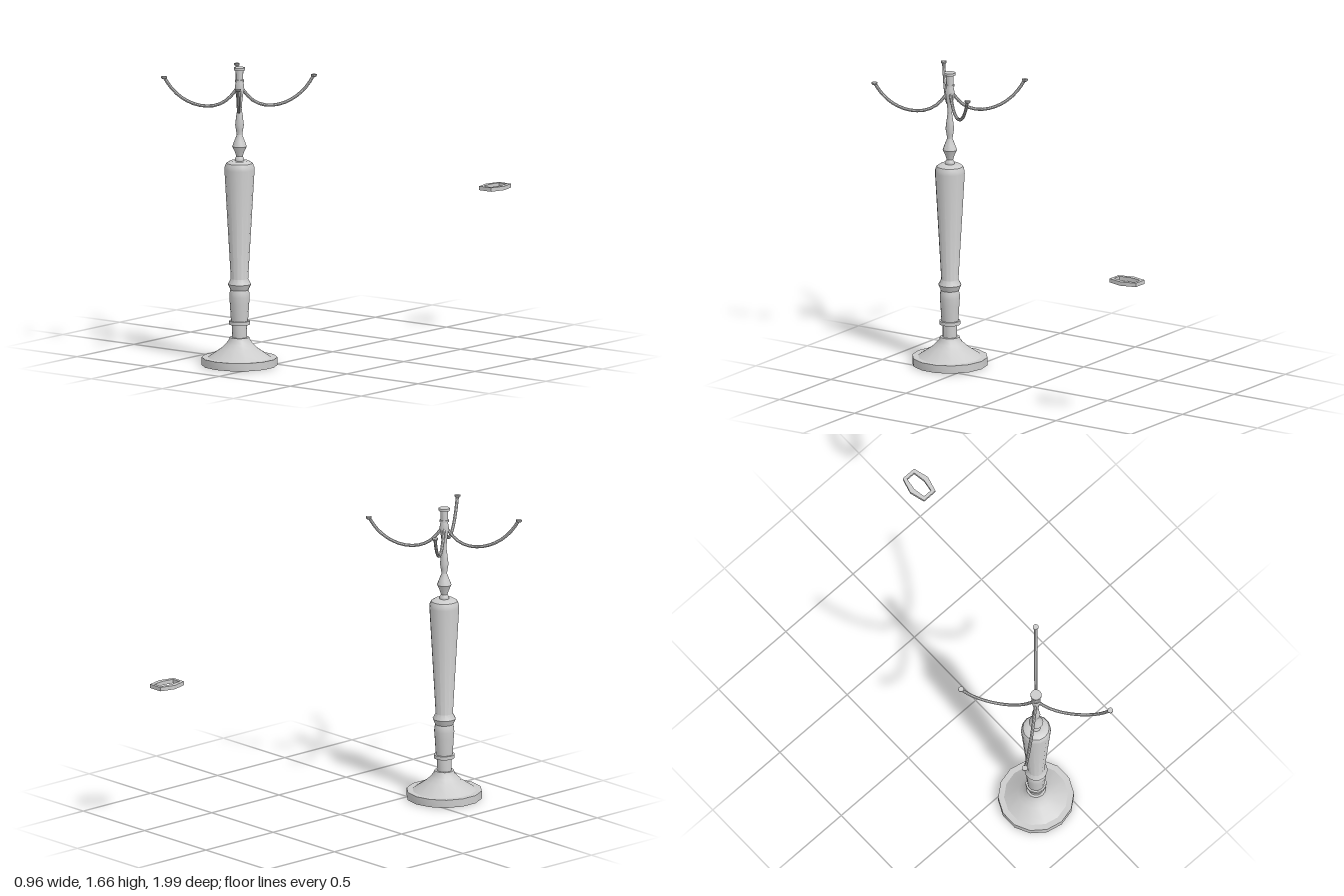
import * as THREE from 'three';
import { toCreasedNormals } from 'three/addons/utils/BufferGeometryUtils.js';

const SIDES = 14;
const material = new THREE.MeshStandardMaterial({ color: 0xcccccc });

function addMesh(parent, name, geometry) {
  const mesh = new THREE.Mesh(toCreasedNormals(geometry, 0.6), material);
  mesh.name = name;
  parent.add(mesh);
  return mesh;
}

// Turned part from [radius, height] pairs, bottom to top
function turned(parent, name, profile, sides = SIDES) {
  const points = profile.map(([r, y]) => new THREE.Vector2(r, y));
  return addMesh(parent, name, new THREE.LatheGeometry(points, sides));
}

// Curved arm reaching along +z, ending in a small round tip
function createArm() {
  const arm = new THREE.Group();
  arm.name = 'arm';
  const path = new THREE.CatmullRomCurve3([
    [0.005, 1.56], [0.035, 1.515], [0.08, 1.472], [0.13, 1.45], [0.185, 1.445],
    [0.25, 1.458], [0.31, 1.488], [0.36, 1.53], [0.395, 1.575], [0.412, 1.603],
  ].map(([r, y]) => new THREE.Vector3(0, y, r)));
  addMesh(arm, 'armTube', new THREE.TubeGeometry(path, 14, 0.009, 8));
  turned(arm, 'armTip', [[0, 1.598], [0.012, 1.598], [0.016, 1.603], [0.016, 1.611], [0, 1.611]], 10)
    .position.z = 0.415;
  return arm;
}

// Flat six-sided outline, wider at the middle
function hexagon(PathType, endWidth, midWidth, depth) {
  return new PathType([
    [endWidth, -depth], [midWidth, 0], [endWidth, depth],
    [-endWidth, depth], [-midWidth, 0], [-endWidth, -depth],
  ].map(([x, y]) => new THREE.Vector2(x, y)));
}

export function createModel() {
  const model = new THREE.Group();
  model.name = 'coatStand';

  const stand = new THREE.Group();
  stand.name = 'stand';
  stand.position.set(-0.14, 0, 0.646);
  model.add(stand);

  // Stepped foot and neck
  turned(stand, 'base', [
    [0, 0], [0.209, 0], [0.209, 0.044], [0.176, 0.044], [0.098, 0.097],
    [0.075, 0.12], [0.06, 0.138], [0.054, 0.155], [0.04, 0.155], [0.04, 0.227],
    [0.058, 0.227], [0.058, 0.247], [0.047, 0.247],
  ]);

  // Tapered column with a lower bead
  turned(stand, 'column', [
    [0.047, 0.247], [0.053, 0.34], [0.056, 0.38], [0.055, 0.4], [0.05, 0.42],
    [0.064, 0.452], [0.048, 0.482], [0.083, 1.09], [0.081, 1.108],
    [0.073, 1.127], [0.052, 1.14], [0.026, 1.14],
  ]);

  // Slender spindle with two beads and a capped top
  turned(stand, 'spindle', [
    [0.026, 1.14], [0.026, 1.15], [0.018, 1.165], [0.026, 1.19], [0.04, 1.22],
    [0.029, 1.25], [0.015, 1.285], [0.019, 1.31], [0.024, 1.34], [0.018, 1.39],
    [0.012, 1.43], [0.016, 1.48], [0.026, 1.55], [0.02, 1.582], [0.026, 1.582],
    [0.026, 1.592], [0.02, 1.592], [0.021, 1.646], [0.031, 1.646], [0.031, 1.66], [0, 1.66],
  ]);

  // Four arms at slightly uneven angles
  for (const [x, z] of [[-0.27, -0.315], [0.28, -0.31], [0.255, 0.332], [-0.325, 0.264]]) {
    const arm = createArm();
    arm.rotation.y = Math.atan2(x, z);
    stand.add(arm);
  }

  // Separate flat ring
  const outline = hexagon(THREE.Shape, 0.042, 0.066, 0.087);
  outline.holes.push(hexagon(THREE.Path, 0.026, 0.037, 0.069));
  const ring = addMesh(model, 'ring',
    new THREE.ExtrudeGeometry(outline, { depth: 0.022, bevelEnabled: false }));
  ring.rotation.x = -Math.PI / 2;
  ring.position.set(0.412, 0.829, -0.913);

  return model;
}
